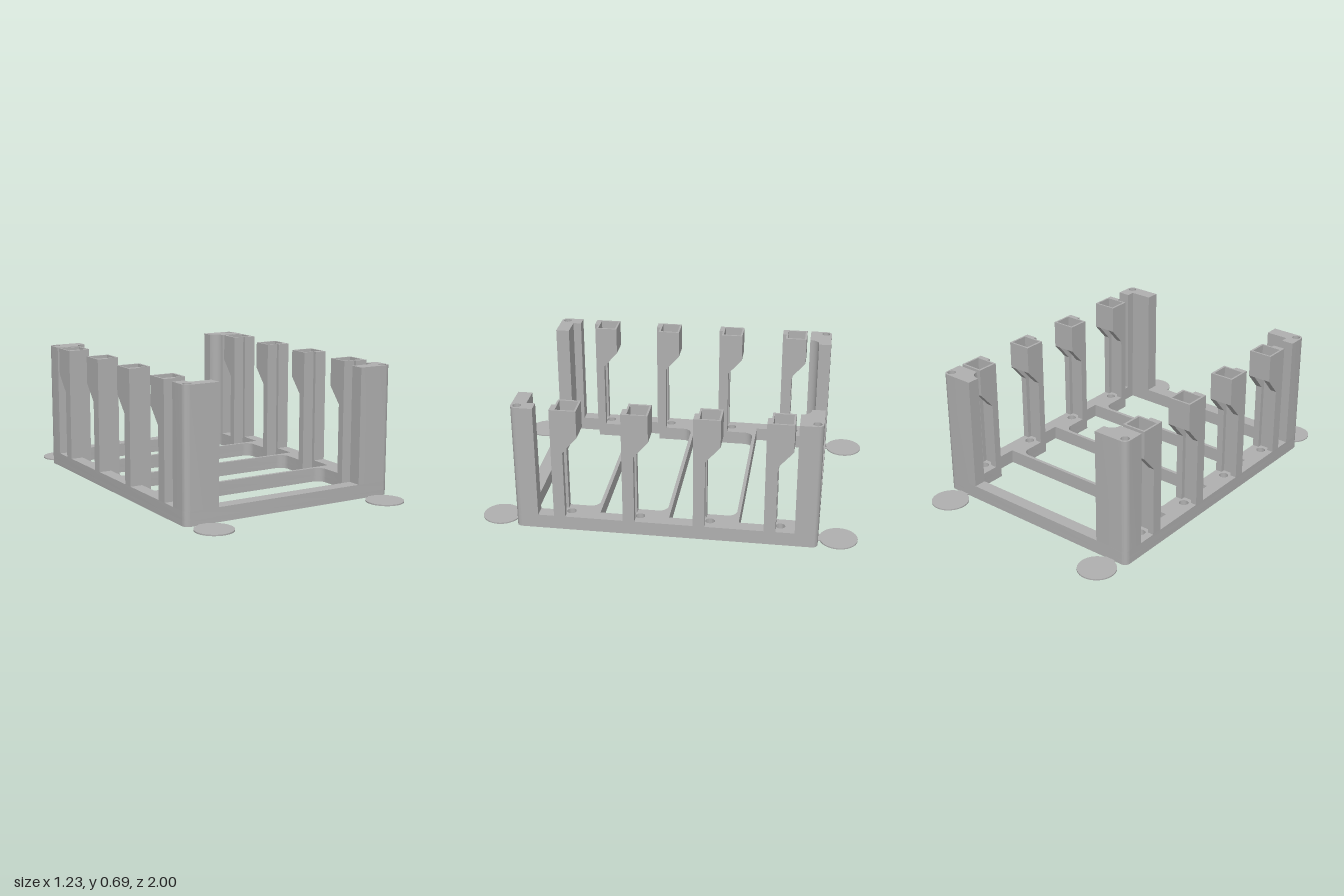
import * as THREE from 'three';
import { toCreasedNormals } from 'three/addons/utils/BufferGeometryUtils.js';

const OUT = 0.616, WIDE = 0.548, NARROW = 0.485, END = 0.795;
const BASE = 0.076, TOP = 0.695, HOLE_X = 0.552;
const POST_Z = [0.59, 0.222, -0.147, -0.515];

export function createModel() {
  const group = new THREE.Group();
  const grey = new THREE.MeshStandardMaterial({ color: 0xb0b0b0 });
  grey.name = 'plain grey';

  const add = (name, geometry, parent = group) => {
    const mesh = new THREE.Mesh(toCreasedNormals(geometry, 0.6), grey);
    mesh.name = name;
    parent.add(mesh);
    return mesh;
  };
  const polygon = (pts) => new THREE.Shape(pts.map(([x, z]) => new THREE.Vector2(x, z)));
  // Plan shape (x, z) raised from y0 to y1
  const slab = (shape, y0, y1) =>
    new THREE.ExtrudeGeometry(shape, { depth: y1 - y0, bevelEnabled: false, curveSegments: 10 })
      .rotateX(Math.PI / 2).translate(0, y1, 0);
  // Points of a regular polygon or circle
  const ring = (x, z, r, n) => Array.from({ length: n }, (_, i) => {
    const a = (i / n) * Math.PI * 2;
    return [x + r * Math.cos(a), z + r * Math.sin(a)];
  });
  // Points of a quarter arc between two angles, in quarter turns
  const arc = (x, z, r, q0, q1) => Array.from({ length: 9 }, (_, i) => {
    const a = (q0 + (q1 - q0) * i / 8) * Math.PI / 2;
    return [x + r * Math.cos(a), z + r * Math.sin(a)];
  });

  // Base frame: four stepped openings and screw holes with hexagonal recesses below
  const openings = [[0.373, 0.72], [0.006, 0.354], [-0.362, -0.013], [-0.727, -0.38]];
  const r = 0.05, c = 0.03;
  const frameShape = (holeRadius, sides) => {
    const shape = polygon([
      ...arc(OUT - c, END - c, c, 0, 1), ...arc(-OUT + c, END - c, c, 1, 2),
      ...arc(-OUT + c, -END + c, c, 2, 3), ...arc(OUT - c, -END + c, c, 3, 4),
    ]);
    openings.forEach(([back, front], i) => {
      const step = POST_Z[i] - 0.02;
      shape.holes.push(polygon([
        [WIDE, front], [-WIDE, front], [-WIDE, step], [-NARROW, step],
        ...arc(-NARROW + r, back + r, r, 2, 3), ...arc(NARROW - r, back + r, r, 3, 4),
        [NARROW, step], [WIDE, step],
      ]));
      for (const s of [-1, 1])
        shape.holes.push(polygon(ring(s * HOLE_X, POST_Z[i] - 0.083, holeRadius, sides)));
    });
    return shape;
  };
  add('frameBottom', slab(frameShape(0.036, 6), 0, 0.03));
  add('frameTop', slab(frameShape(0.025, 24), 0.03, BASE));

  for (const s of [-1, 1]) {
    const side = s > 0 ? 'left' : 'right';
    const plan = (pts) => polygon(pts.map(([x, z]) => [s * x, z]));

    // Corner posts: L-shaped in front, filleted at the back, with a pin hole on top
    const front = plan([
      ...arc(OUT - c, END - c, c, 0, 1), [0.425, END], [0.425, 0.72],
      [WIDE, 0.72], [WIDE, 0.675], [OUT, 0.675],
    ]);
    const back = plan([
      ...arc(OUT - c, -END + c, c, 0, -1), [0.425, -END], [0.425, -0.727],
      ...arc(NARROW - r, -0.727 + r, r, -1, 0), [NARROW, -0.675], [OUT, -0.675],
    ]);
    [[front, 1, 'Front'], [back, -1, 'Back']].forEach(([shape, e, end]) => {
      shape.holes.push(polygon(ring(s * 0.585, e * 0.762, 0.022, 24)));
      add(`${side}${end}CornerPost`, slab(shape, BASE, TOP));

      // Thin disc foot with its short tab
      const foot = new THREE.Group();
      foot.name = `${side}${end}Foot`;
      group.add(foot);
      add('disc', new THREE.CylinderGeometry(0.1, 0.1, 0.007, 40)
        .translate(s * 0.516, 0.0035, e * 0.9), foot);
      add('tab', new THREE.BoxGeometry(0.06, 0.006, 0.04)
        .translate(s * 0.516, 0.003, e * 0.8), foot);
    });

    // Hook-headed support posts
    POST_Z.forEach((z, i) => {
      const post = new THREE.Group();
      post.name = `${side}SupportPost${i + 1}`;
      group.add(post);
      const face = [[OUT, z], [WIDE, z], [WIDE, z - 0.02], [NARROW, z - 0.02]];
      const g0 = HOLE_X - 0.03, g1 = HOLE_X + 0.03, zb = z - 0.061, zh = z - 0.139;

      // Stem with a rear groove
      add('stem', slab(plan([
        ...face, [NARROW, zb], [g0, zb], [g0, z - 0.037], [g1, z - 0.037], [g1, zb], [OUT, zb],
      ]), BASE, 0.545), post);

      // Sloping brackets on both sides of the groove
      for (const [a, b] of [[NARROW, g0], [g1, OUT]]) {
        const bracket = polygon([[zb, 0.455], [zb, 0.545], [zh, 0.545]]);
        add('bracket', new THREE.ExtrudeGeometry(bracket, { depth: b - a, bevelEnabled: false })
          .rotateY(-Math.PI / 2).translate(s > 0 ? b : -a, 0, 0), post);
      }

      // Head: drilled floor and square socket
      const outline = [...face, [NARROW, zh], [OUT, zh]];
      const floor = plan(outline);
      floor.holes.push(polygon(ring(s * HOLE_X, z - 0.083, 0.025, 24)));
      add('headFloor', slab(floor, 0.545, 0.6), post);
      const socket = plan(outline);
      socket.holes.push(plan([
        [0.497, z - 0.03], [0.606, z - 0.03], [0.606, z - 0.129], [0.497, z - 0.129],
      ]));
      add('headSocket', slab(socket, 0.6, TOP), post);
    });
  }
  return group;
}
